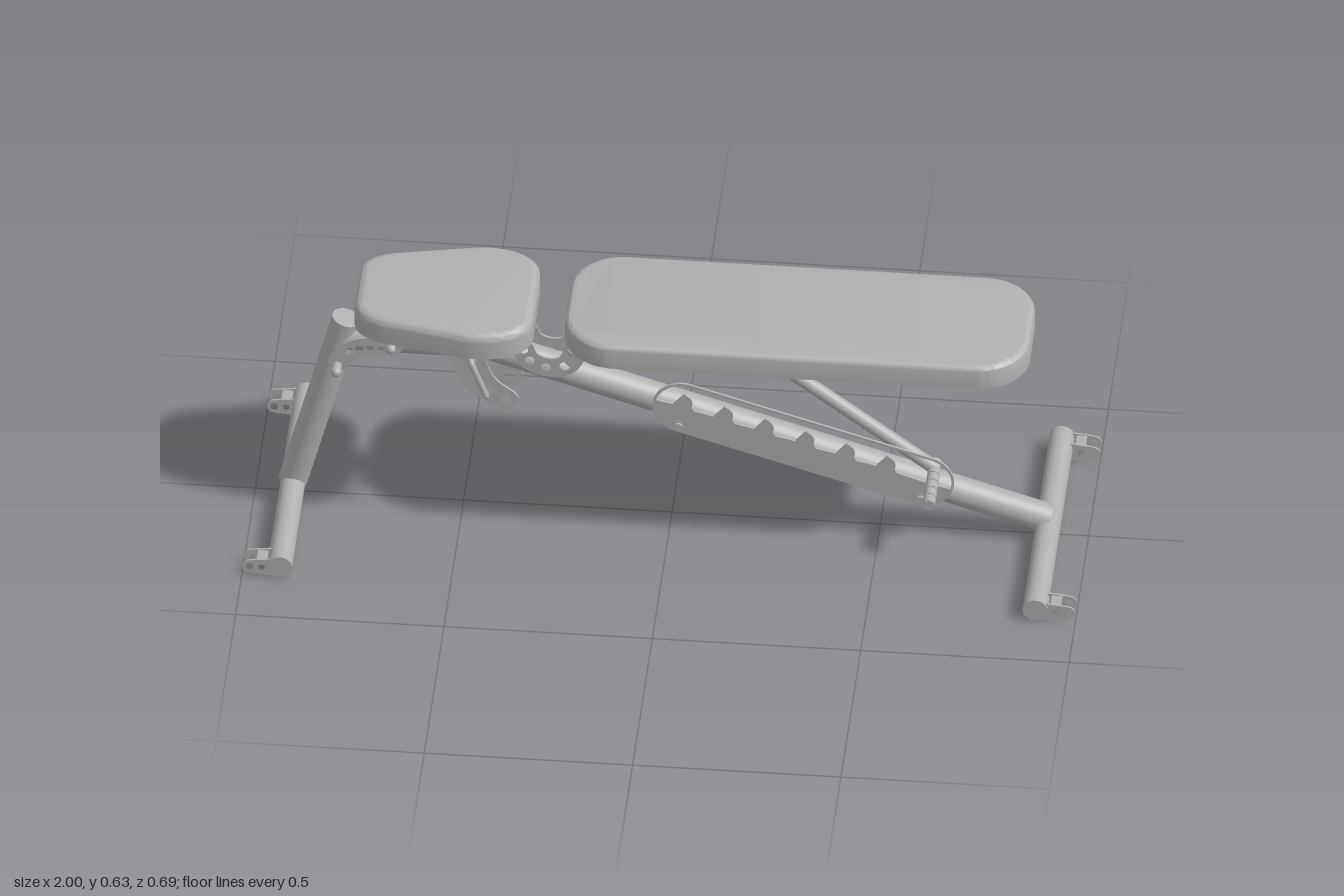
import * as THREE from 'three';
import { toCreasedNormals } from 'three/addons/utils/BufferGeometryUtils.js';

const V2 = (x, y) => new THREE.Vector2(x, y);
const V3 = (p) => new THREE.Vector3(...p);

export function createModel() {
  const model = new THREE.Group();
  const steel = new THREE.MeshStandardMaterial({ name: 'grey', color: 0xb0b0b0 });

  const add = (name, geometry) => {
    const mesh = new THREE.Mesh(geometry, steel);
    mesh.name = name;
    model.add(mesh);
    return mesh;
  };

  // Round bar between two points
  const bar = (name, a, b, r, sides = 28) => {
    const p = V3(a), q = V3(b);
    const mesh = add(name, new THREE.CylinderGeometry(r, r, p.distanceTo(q), sides));
    mesh.position.copy(p).add(q).multiplyScalar(0.5);
    mesh.quaternion.setFromUnitVectors(new THREE.Vector3(0, 1, 0), q.sub(p).normalize());
    return mesh;
  };

  const box = (name, x0, x1, y0, y1, z0, z1) => {
    const mesh = add(name, new THREE.BoxGeometry(x1 - x0, y1 - y0, z1 - z0));
    mesh.position.set((x0 + x1) / 2, (y0 + y1) / 2, (z0 + z1) / 2);
    return mesh;
  };

  // Flat plate in the xy plane, centred on z, with round holes [x, y, r]
  const plate = (name, shape, holes, z, depth) => {
    for (const [x, y, r] of holes) shape.holes.push(new THREE.Path().absarc(x, y, r, 0, Math.PI * 2, true));
    const geo = new THREE.ExtrudeGeometry(shape, { depth, bevelEnabled: false, curveSegments: 12 });
    geo.translate(0, 0, z - depth / 2);
    return add(name, toCreasedNormals(geo, 0.6));
  };

  // Rounded band following a spline, its half width going from w0 to w1
  const band = (points, w0, w1) => {
    const curve = new THREE.SplineCurve(points.map((p) => V2(...p)));
    const left = [], right = [], n = 20;
    for (let i = 0; i <= n; i++) {
      const t = i / n, p = curve.getPoint(t), d = curve.getTangent(t);
      const w = w0 + (w1 - w0) * t;
      left.push(V2(p.x - d.y * w, p.y + d.x * w));
      right.push(V2(p.x + d.y * w, p.y - d.x * w));
    }
    const cap = (t, w, sign) => {
      const p = curve.getPoint(t), d = curve.getTangent(t);
      const start = Math.atan2(d.y, d.x) + sign * Math.PI / 2;
      return [1, 2, 3, 4, 5, 6, 7].map((k) => {
        const a = start - k * Math.PI / 8;
        return V2(p.x + Math.cos(a) * w, p.y + Math.sin(a) * w);
      });
    };
    return new THREE.Shape([...left, ...cap(1, w1, 1), ...right.reverse(), ...cap(0, w0, -1)]);
  };
  const holesAlong = (points, ts, r) => {
    const curve = new THREE.SplineCurve(points.map((p) => V2(...p)));
    return ts.map((t) => [...curve.getPoint(t).toArray(), r]);
  };

  // Cushion: flat underneath, rounded along the top edge; shape is (x, -z)
  const cushion = (name, shape, y0, y1, bevel) => {
    const geo = new THREE.ExtrudeGeometry(shape, {
      depth: y1 - y0 - bevel, bevelThickness: bevel, bevelSize: bevel, bevelOffset: -bevel,
      bevelSegments: 5, curveSegments: 14,
    });
    const pos = geo.attributes.position;
    for (let i = 0; i < pos.count; i++) pos.setZ(i, Math.max(0, pos.getZ(i)));
    geo.rotateX(-Math.PI / 2);
    geo.translate(0, y0, 0);
    add(name, toCreasedNormals(geo, 0.7));
  };

  // Backrest cushion
  const x0 = -0.25, x1 = 0.865, h = 0.185, r = 0.125;
  const back = new THREE.Shape();
  back.absarc(x1 - r, h - r, r, Math.PI / 2, 0, true);
  back.absarc(x1 - r, r - h, r, 0, -Math.PI / 2, true);
  back.absarc(x0 + r, r - h, r, -Math.PI / 2, -Math.PI, true);
  back.absarc(x0 + r, h - r, r, Math.PI, Math.PI / 2, true);
  cushion('backrestCushion', back, 0.567, 0.629, 0.016);

  // Seat cushion, narrower toward the front leg
  const seat = new THREE.Shape();
  seat.moveTo(-0.755, 0.07);
  seat.quadraticCurveTo(-0.75, 0.125, -0.67, 0.143);
  seat.lineTo(-0.49, 0.18);
  seat.bezierCurveTo(-0.41, 0.195, -0.325, 0.16, -0.325, 0.09);
  seat.lineTo(-0.325, -0.09);
  seat.bezierCurveTo(-0.325, -0.16, -0.41, -0.195, -0.49, -0.18);
  seat.lineTo(-0.67, -0.143);
  seat.quadraticCurveTo(-0.75, -0.125, -0.755, -0.07);
  cushion('seatCushion', seat, 0.57, 0.637, 0.02);

  // Main frame tubes
  bar('mainTube', [-0.43, 0.473, 0], [0.905, 0.05, 0], 0.036);
  bar('upperTube', [-0.79, 0.48, 0], [-0.42, 0.48, 0], 0.035);
  bar('frontLeg', [-0.781, 0.532, 0], [-0.909, 0.04, 0], 0.035);
  const joint = add('tubeBend', new THREE.SphereGeometry(0.036, 24, 16));
  joint.position.set(-0.425, 0.477, 0);

  // Floor bars with drilled foot brackets
  for (const s of [-1, 1]) {
    const cx = s < 0 ? -0.909 : 0.904;
    bar('floorBar', [cx, 0.035, -0.345], [cx, 0.035, 0.345], 0.03);
    for (const e of [-1, 1]) {
      const path = [[cx, 0.03], [s * 0.95, 0.028], [s * 0.982, 0.028]];
      for (const z of [0.295, 0.337]) {
        plate('footBracketSide', band(path, 0.026, 0.018),
          [[s * 0.982, 0.028, 0.009], [s * 0.953, 0.028, 0.008]], e * z, 0.005);
      }
      box('footBracketWeb', Math.min(s * 0.94, s * 0.965), Math.max(s * 0.94, s * 0.965),
        0.042, 0.047, e * 0.316 - 0.021, e * 0.316 + 0.021);
    }
  }

  // Paired drilled plates at the leg, seat and backrest joints
  const legPath = [[-0.795, 0.434], [-0.765, 0.467], [-0.72, 0.482], [-0.67, 0.483]];
  const seatPath = [[-0.49, 0.487], [-0.472, 0.43], [-0.44, 0.385], [-0.392, 0.352]];
  const backPath = [[-0.355, 0.503], [-0.337, 0.468], [-0.295, 0.45], [-0.245, 0.463], [-0.218, 0.53]];
  for (const s of [-1, 1]) {
    plate('legGusset', band(legPath, 0.026, 0.026), holesAlong(legPath, [0.3, 0.48, 0.66, 0.82, 0.97], 0.01), s * 0.04, 0.006);
    plate('seatAdjuster', band(seatPath, 0.045, 0.03), holesAlong(seatPath, [0.4, 0.7, 0.98], 0.013), s * 0.05, 0.006);
    plate('backrestAdjuster', band(backPath, 0.027, 0.027), holesAlong(backPath, [0.04, 0.25, 0.48, 0.7], 0.012), s * 0.04, 0.006);
  }

  // Bolts with domed ends, running across the frame
  const bolts = [[-0.8, 0.42, 0.068, 0.012], [-0.67, 0.483, 0.05, 0.011], [-0.475, 0.475, 0.056, 0.012],
    [-0.232, 0.547, 0.1, 0.011], [0.153, 0.547, 0.102, 0.012]];
  for (const [x, y, z, br] of bolts) {
    bar('bolt', [x, y, -z], [x, y, z], br, 18);
    for (const s of [-1, 1]) {
      const head = add('boltHead', new THREE.SphereGeometry(br * 1.1, 16, 10));
      head.position.set(x, y, s * z);
    }
  }

  // Bent locking pin for the seat
  const pinPath = new THREE.CatmullRomCurve3([[-0.475, 0.508, -0.072], [-0.475, 0.508, 0], [-0.475, 0.508, 0.095],
    [-0.472, 0.502, 0.108], [-0.465, 0.485, 0.112], [-0.436, 0.408, 0.112]].map(V3), false, 'centripetal');
  add('lockingPin', new THREE.TubeGeometry(pinPath, 48, 0.008, 12));
  for (const y of [0.408, 0.508]) {
    const end = add('pinEnd', new THREE.SphereGeometry(0.008, 12, 8));
    end.position.set(y < 0.5 ? -0.436 : -0.475, y, y < 0.5 ? 0.112 : -0.072);
  }
  bar('pinCollar', [-0.475, 0.508, 0.045], [-0.475, 0.508, 0.062], 0.015, 18);

  // Supports under the cushions
  for (const s of [-1, 1]) {
    const a = Math.min(s * 0.055, s * 0.08), b = a + 0.025;
    box('backrestRailFlange', -0.24, 0.8, 0.561, 0.568, a, b);
    box('backrestRailWeb', -0.24, 0.8, 0.535, 0.567, s * 0.058 - 0.004, s * 0.058 + 0.004);
    const rail = new THREE.Shape([V2(-0.71, 0.571), V2(-0.65, 0.535), V2(-0.4, 0.535), V2(-0.37, 0.571)]);
    plate('seatRail', rail, [], s * 0.054, 0.008);
  }
  for (const x of [-0.22, 0.15, 0.53]) box('backrestCrossbar', x - 0.015, x + 0.015, 0.538, 0.567, -0.056, 0.056);
  box('seatCrossbar', -0.65, -0.61, 0.53, 0.571, -0.055, 0.055);
  box('seatMount', -0.53, -0.43, 0.505, 0.571, -0.045, 0.045);
  bar('backrestPost', [-0.245, 0.415, 0], [-0.215, 0.555, 0], 0.025);

  // Toothed ladder plate beside the main tube
  const length = 0.607, R = 0.072, inner = 0.066;
  const ladder = new THREE.Shape();
  ladder.absarc(length, 0, R, -Math.PI / 2, Math.PI / 2, false);
  ladder.absarc(0, 0, R, Math.PI / 2, Math.PI * 1.5, false);
  const slot = new THREE.Path();
  slot.absarc(length, 0, inner, 0, Math.PI / 2, false);
  slot.absarc(0, 0, inner, Math.PI / 2, Math.PI, false);
  for (let i = 0; i < 6; i++) {
    const u = 0.005 + i * 0.102;
    slot.lineTo(u - 0.028, 0.003);
    slot.lineTo(u - 0.012, 0.04);
    slot.quadraticCurveTo(u + 0.016, 0.034, u + 0.016, 0.008);
    slot.lineTo(u + 0.024, 0);
  }
  slot.lineTo(length, -0.002);
  ladder.holes.push(slot);
  const ladderMesh = plate('ladderPlate', ladder, [], 0, 0.006);
  ladderMesh.position.set(0.03, 0.362, 0.054);
  ladderMesh.rotation.z = Math.atan2(-0.179, 0.58);
  for (const [x, y] of [[0.02, 0.308], [0.602, 0.13]]) {
    bar('ladderSpacer', [x, y, 0.02], [x, y, 0.058], 0.016, 18);
    bar('ladderBolt', [x, y, 0.055], [x, y, 0.065], 0.011, 18);
  }

  // Backrest strut and its ribbed handle
  bar('strut', [0.153, 0.547, 0], [0.632, 0.182, 0], 0.017);
  bar('handleCore', [0.63, 0.181, -0.024], [0.63, 0.181, 0.148], 0.012, 20);
  for (let i = 0; i < 6; i++) {
    const z = -0.024 + i * 0.029;
    bar('handleGrip', [0.63, 0.181, z], [0.63, 0.181, z + 0.026], 0.015, 20);
  }
  return model;
}
